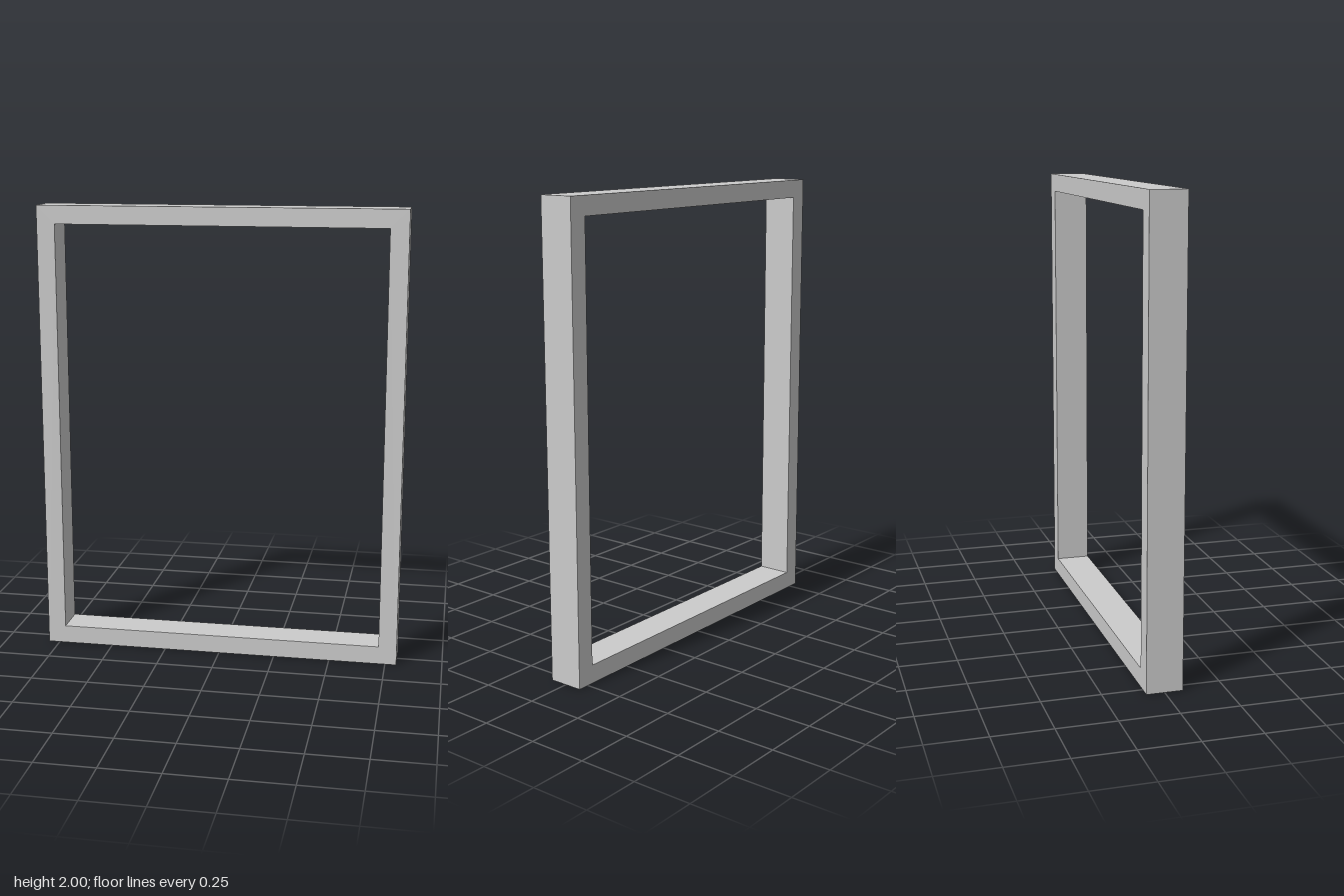
import * as THREE from 'three';

const WIDTH = 1.6, HEIGHT = 2, BORDER = 0.08, DEPTH = 0.154;

// Closed rectangle outline, centred on x = 0
function rectangle(path, halfWidth, bottom, top) {
  path.moveTo(-halfWidth, bottom);
  path.lineTo(halfWidth, bottom);
  path.lineTo(halfWidth, top);
  path.lineTo(-halfWidth, top);
  path.closePath();
  return path;
}

export function createModel() {
  const model = new THREE.Group();
  model.name = 'rectangularFrame';

  // Square-edged frame with one open centre
  const outline = rectangle(new THREE.Shape(), WIDTH / 2, 0, HEIGHT);
  outline.holes.push(rectangle(new THREE.Path(), WIDTH / 2 - BORDER, BORDER, HEIGHT - BORDER));
  const geometry = new THREE.ExtrudeGeometry(outline, { depth: DEPTH, bevelEnabled: false });
  geometry.translate(0, 0, -DEPTH / 2);

  const frame = new THREE.Mesh(geometry, new THREE.MeshStandardMaterial({ color: 0xcccccc }));
  frame.name = 'frame';
  model.add(frame);
  return model;
}
